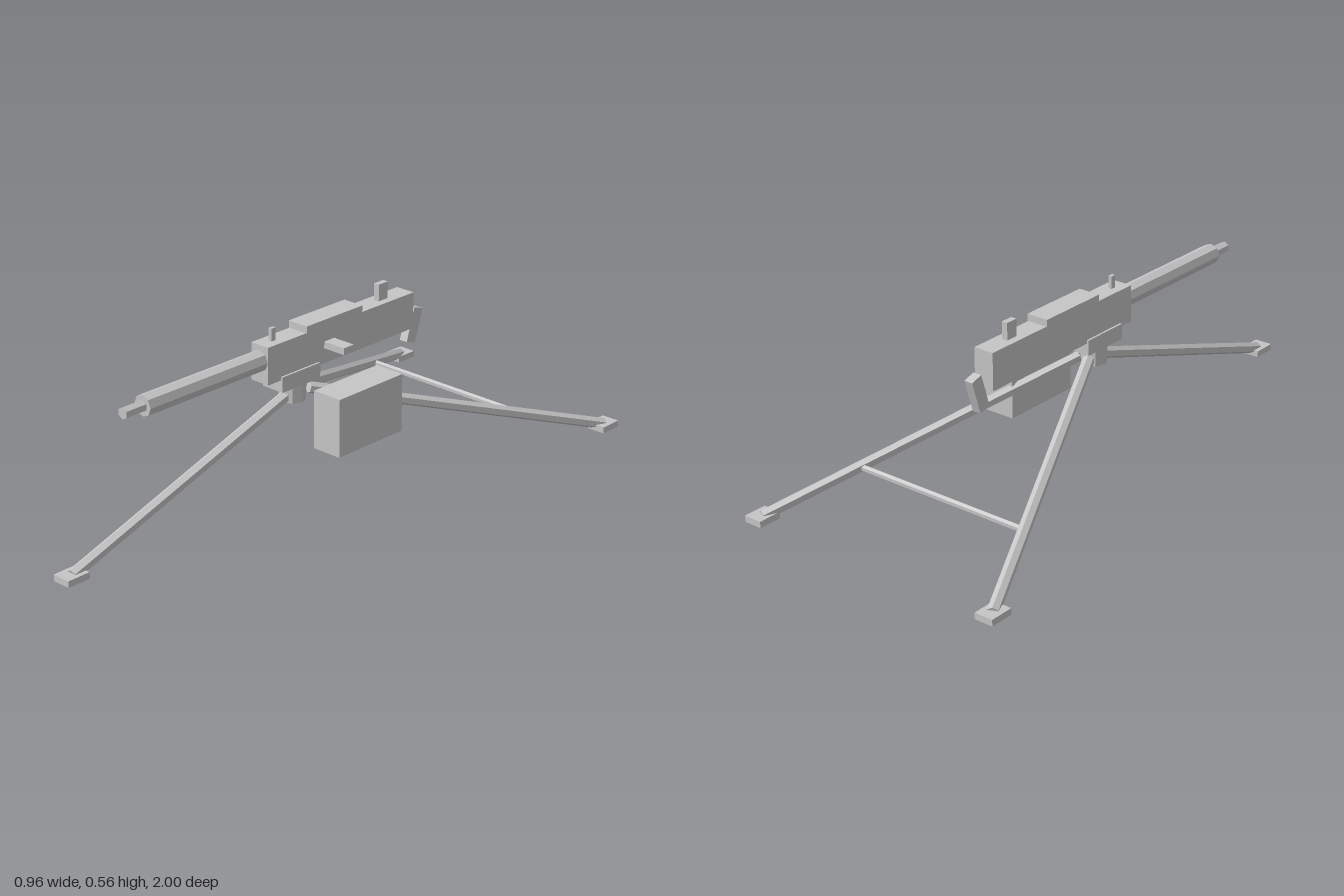
import * as THREE from 'three';

export function createModel() {
  const root = new THREE.Group();
  const steel = new THREE.MeshStandardMaterial({ color: 0xc6c6c6 });
  steel.name = 'steelGrey';
  steel.flatShading = true;

  const add = (name, geometry, x, y, z) => {
    const mesh = new THREE.Mesh(geometry, steel);
    mesh.name = name;
    mesh.position.set(x, y, z);
    root.add(mesh);
    return mesh;
  };

  // Box given by its lowest and highest corner
  const box = (name, lo, hi) => add(name,
    new THREE.BoxGeometry(hi[0] - lo[0], hi[1] - lo[1], hi[2] - lo[2]),
    (lo[0] + hi[0]) / 2, (lo[1] + hi[1]) / 2, (lo[2] + hi[2]) / 2);

  // Faceted bar between two points, with one edge running along its top
  const bar = (name, from, to, radius, sides) => {
    const a = new THREE.Vector3(...from), b = new THREE.Vector3(...to);
    const geometry = new THREE.CylinderGeometry(radius, radius, a.distanceTo(b), sides).rotateX(-Math.PI / 2);
    const mid = a.lerp(b, 0.5);
    add(name, geometry, mid.x, mid.y, mid.z).lookAt(b);
  };

  // Receiver, top cover and sights
  box('receiver', [-0.035, 0.383, -0.468], [0.035, 0.505, 0.193]);
  box('topCover', [-0.038, 0.505, -0.222], [0.038, 0.528, 0.028]);
  box('frontSight', [-0.006, 0.503, 0.131], [0.006, 0.546, 0.149]);
  box('rearSight', [-0.01, 0.503, -0.372], [0.01, 0.561, -0.33]);

  // Barrel with its jacket
  bar('barrelJacket', [0, 0.455, 0.19], [0, 0.455, 0.67], 0.034, 8);
  bar('muzzle', [0, 0.455, 0.66], [0, 0.455, 0.747], 0.019, 6);

  // Tilted rear grip
  const grip = add('rearGrip', new THREE.BoxGeometry(0.03, 0.115, 0.042), 0, 0.379, -0.5);
  grip.rotation.x = -0.3;

  // Feed arm and the box beside the receiver
  box('feedArm', [0.03, 0.433, -0.098], [0.117, 0.455, -0.053]);
  box('feedBox', [0.106, 0.158, -0.217], [0.212, 0.349, 0.067]);

  // Cradle and pivot post
  box('cradle', [-0.042, 0.344, -0.028], [0.042, 0.395, 0.138]);
  add('pivotPost', new THREE.CylinderGeometry(0.042, 0.042, 0.062, 8), 0, 0.318, 0.052);

  // Tripod legs with flat feet
  const legs = [
    ['frontLeg', [0, 0.316, 0.052], [0, 0.018, 0.958]],
    ['leftRearLeg', [0.02, 0.316, 0], [0.447, 0.018, -0.96]],
    ['rightRearLeg', [-0.02, 0.316, 0], [-0.447, 0.018, -0.96]],
  ];
  for (const [name, top, end] of legs) {
    bar(name, end, top, 0.019, 6);
    add(name + 'Foot', new THREE.BoxGeometry(0.063, 0.021, 0.08), end[0], 0.0145, Math.sign(end[2]) * 0.96);
  }

  // Cross brace between the rear legs
  bar('rearBrace', [-0.307, 0.107, -0.673], [0.307, 0.107, -0.673], 0.0105, 6);

  return root;
}
